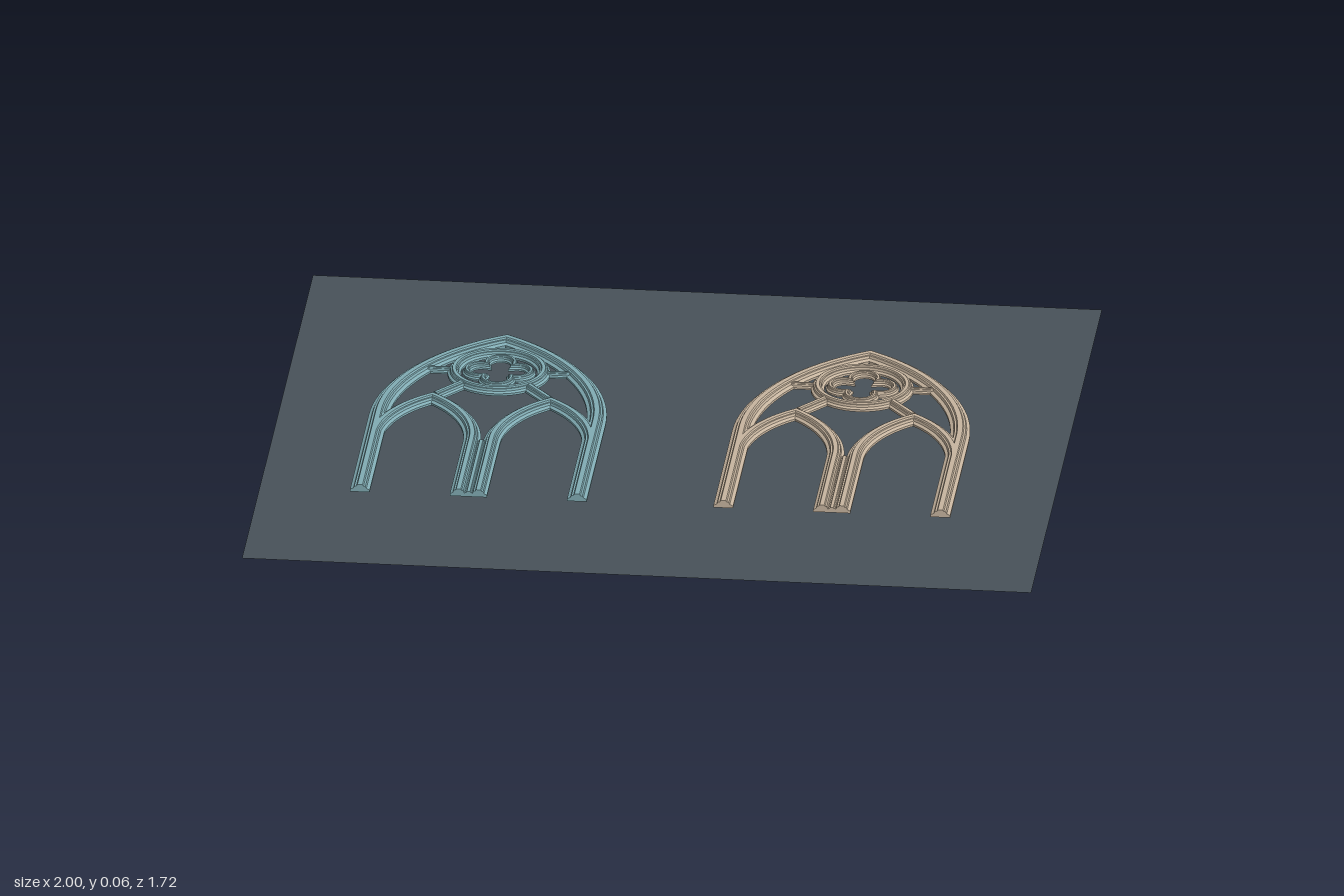
import * as THREE from 'three';

const BASE_Y = 0.04, HEIGHT = 0.02;

// Half of the moulding section: [fraction of half width, fraction of height]
const SIDE = [[1, 0], [1, 0.3], [0.66, 0.5], [0.56, 0.8], [0.36, 0.8], [0.26, 1]];

function section(width, height) {
  const right = SIDE.map(([s, h]) => [s * width / 2, BASE_Y + h * height]);
  const left = right.map(([s, y]) => [-s, y]).reverse();
  return [...right, ...left];
}

// Sweep the moulding section along a flat path of [x, z] points with mitred corners
function moulding(path, width, closed = false, height = HEIGHT) {
  const prof = section(width, height), n = path.length, m = prof.length;
  const dir = (a, b) => {
    const x = b[0] - a[0], z = b[1] - a[1], l = Math.hypot(x, z);
    return [x / l, z / l];
  };
  const rings = path.map((p, i) => {
    const prev = closed || i > 0 ? path[(i + n - 1) % n] : null;
    const next = closed || i < n - 1 ? path[(i + 1) % n] : null;
    const a = prev ? dir(prev, p) : dir(p, next);
    const b = next ? dir(p, next) : a;
    let tx = a[0] + b[0], tz = a[1] + b[1];
    const l = Math.hypot(tx, tz);
    tx /= l; tz /= l;
    const mitre = 1 / Math.max(0.5, tx * a[0] + tz * a[1]);
    return prof.map(([s, y]) => [p[0] - tz * s * mitre, y, p[1] + tx * s * mitre]);
  });
  const pos = [];
  const tri = (...pts) => pts.forEach((q) => pos.push(...q));
  for (let i = 0; i < (closed ? n : n - 1); i++) {
    const r0 = rings[i], r1 = rings[(i + 1) % n];
    for (let j = 0; j < m; j++) {
      const k = (j + 1) % m;
      tri(r0[j], r1[j], r1[k]);
      tri(r0[j], r1[k], r0[k]);
    }
  }
  if (!closed) {
    // End caps fan out from the middle of the base
    for (const [ring, flip] of [[rings[0], false], [rings[n - 1], true]]) {
      const mid = [(ring[0][0] + ring[m - 1][0]) / 2, BASE_Y, (ring[0][2] + ring[m - 1][2]) / 2];
      for (let j = 0; j < m - 1; j++) {
        if (flip) tri(mid, ring[j + 1], ring[j]);
        else tri(mid, ring[j], ring[j + 1]);
      }
    }
  }
  const g = new THREE.BufferGeometry();
  g.setAttribute('position', new THREE.Float32BufferAttribute(pos, 3));
  g.computeVertexNormals();
  return g;
}

// Pointed arch with straight legs: two arcs of radius r meeting at the apex
function pointedArch(cx, half, r, spring, foot, steps = 20) {
  const end = Math.acos((r - half) / r), left = [[-half, foot]];
  for (let i = 0; i <= steps; i++) {
    const a = end * i / steps;
    left.push([r - half - r * Math.cos(a), spring - r * Math.sin(a)]);
  }
  const right = left.slice(0, -1).reverse().map(([x, z]) => [-x, z]);
  return [...left, ...right].map(([x, z]) => [x + cx, z]);
}

function circle(cz, r, steps = 48) {
  return Array.from({ length: steps }, (_, i) => {
    const a = i / steps * Math.PI * 2;
    return [r * Math.cos(a), cz + r * Math.sin(a)];
  });
}

// Four round lobes joined at cusps
function quatrefoil(cz, offset, r, steps = 12) {
  const pts = [];
  const half = offset / Math.SQRT2;
  const cusp = half + Math.sqrt(r * r - half * half);
  const c = cusp / Math.SQRT2;
  const sweep = Math.atan2(c, c - offset);
  for (let q = 0; q < 4; q++) {
    for (let i = 0; i < steps; i++) {
      const a = -sweep + 2 * sweep * i / steps;
      const x = offset + r * Math.cos(a), z = r * Math.sin(a);
      const t = q * Math.PI / 2;
      pts.push([x * Math.cos(t) - z * Math.sin(t), cz + x * Math.sin(t) + z * Math.cos(t)]);
    }
  }
  return pts;
}

function traceryWindow(name, x, material) {
  const g = new THREE.Group();
  g.name = name;
  g.position.x = x;
  const add = (part, geometry) => {
    const mesh = new THREE.Mesh(geometry, material);
    mesh.name = part;
    g.add(mesh);
  };
  const foot = 0.515, roseZ = -0.225;
  add('outerArch', moulding(pointedArch(0, 0.275, 0.55, 0.06, foot), 0.05));
  add('roseRing', moulding(circle(roseZ, 0.113), 0.034, true));
  add('quatrefoil', moulding(quatrefoil(roseZ, 0.046, 0.036), 0.022, true, 0.017));
  for (const s of [-1, 1]) {
    const side = s < 0 ? 'right' : 'left';
    add(side + 'LightArch', moulding(pointedArch(s * 0.15, 0.125, 0.315, 0.2, foot), 0.044));
    // Short bars tying the ring to the arches
    add(side + 'CrossBar', moulding([[s * 0.12, roseZ], [s * 0.205, roseZ]], 0.022, false, 0.015));
    add(side + 'DiagonalBar', moulding([[s * 0.085, -0.14], [s * 0.145, -0.065]], 0.034, false, 0.018));
  }
  // Fillet filling the middle post between the two lights
  add('mullion', moulding([[0, 0.2], [0, foot]], 0.03, false, 0.014));
  return g;
}

export function createModel() {
  const slate = new THREE.MeshStandardMaterial({ color: 0x48525a, side: THREE.DoubleSide });
  slate.name = 'slate';
  const blue = new THREE.MeshStandardMaterial({ color: 0x82adb5 });
  blue.name = 'paleBlue';
  const stone = new THREE.MeshStandardMaterial({ color: 0xc8b6a0 });
  stone.name = 'sandstone';

  const model = new THREE.Group();
  model.name = 'traceryWindows';

  const ground = new THREE.Mesh(new THREE.PlaneGeometry(2, 1.715).rotateX(-Math.PI / 2), slate);
  ground.name = 'backingSheet';
  model.add(ground);

  model.add(traceryWindow('blueWindow', -0.462, blue));
  model.add(traceryWindow('stoneWindow', 0.459, stone));
  return model;
}
